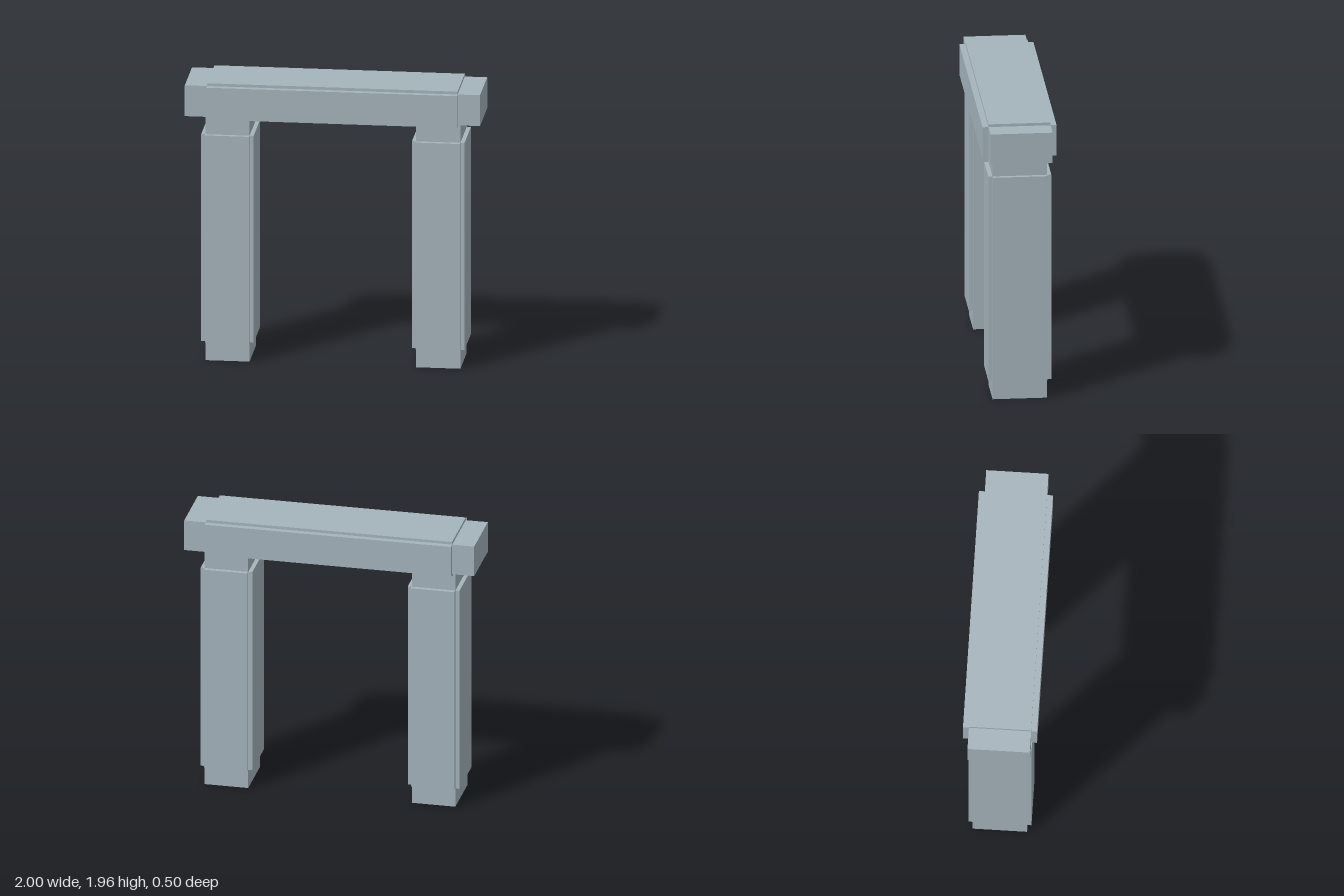
import * as THREE from 'three';

export function createModel() {
  const model = new THREE.Group();
  model.name = 'stoneGate';
  const stone = new THREE.MeshStandardMaterial({ color: 0xa5b4bc });
  stone.name = 'blue grey stone';

  // Box given by its size and centre
  const block = (parent, name, size, y, x = 0) => {
    const mesh = new THREE.Mesh(new THREE.BoxGeometry(...size), stone);
    mesh.name = name;
    mesh.position.set(x, y, 0);
    parent.add(mesh);
  };

  // Two posts: a core with raised panels on all four sides, notched at the corners
  for (const side of [-1, 1]) {
    const post = new THREE.Group();
    post.name = side > 0 ? 'leftPost' : 'rightPost';
    post.position.x = side * 0.714;
    block(post, 'postCore', [0.3, 1.72, 0.368], 0.86);
    block(post, 'postSidePanels', [0.356, 1.455, 0.368], 0.861);
    block(post, 'postFrontBackPanels', [0.3, 1.455, 0.426], 0.861);
    model.add(post);
  }

  // Lintel: a long core with raised panels on top, bottom, front and back
  const lintel = new THREE.Group();
  lintel.name = 'lintel';
  block(lintel, 'lintelCore', [2, 0.217, 0.42], 1.827);
  block(lintel, 'lintelTopBottomPanels', [1.696, 0.256, 0.42], 1.827);
  block(lintel, 'lintelFrontBackPanels', [1.696, 0.217, 0.5], 1.827);
  model.add(lintel);

  return model;
}
